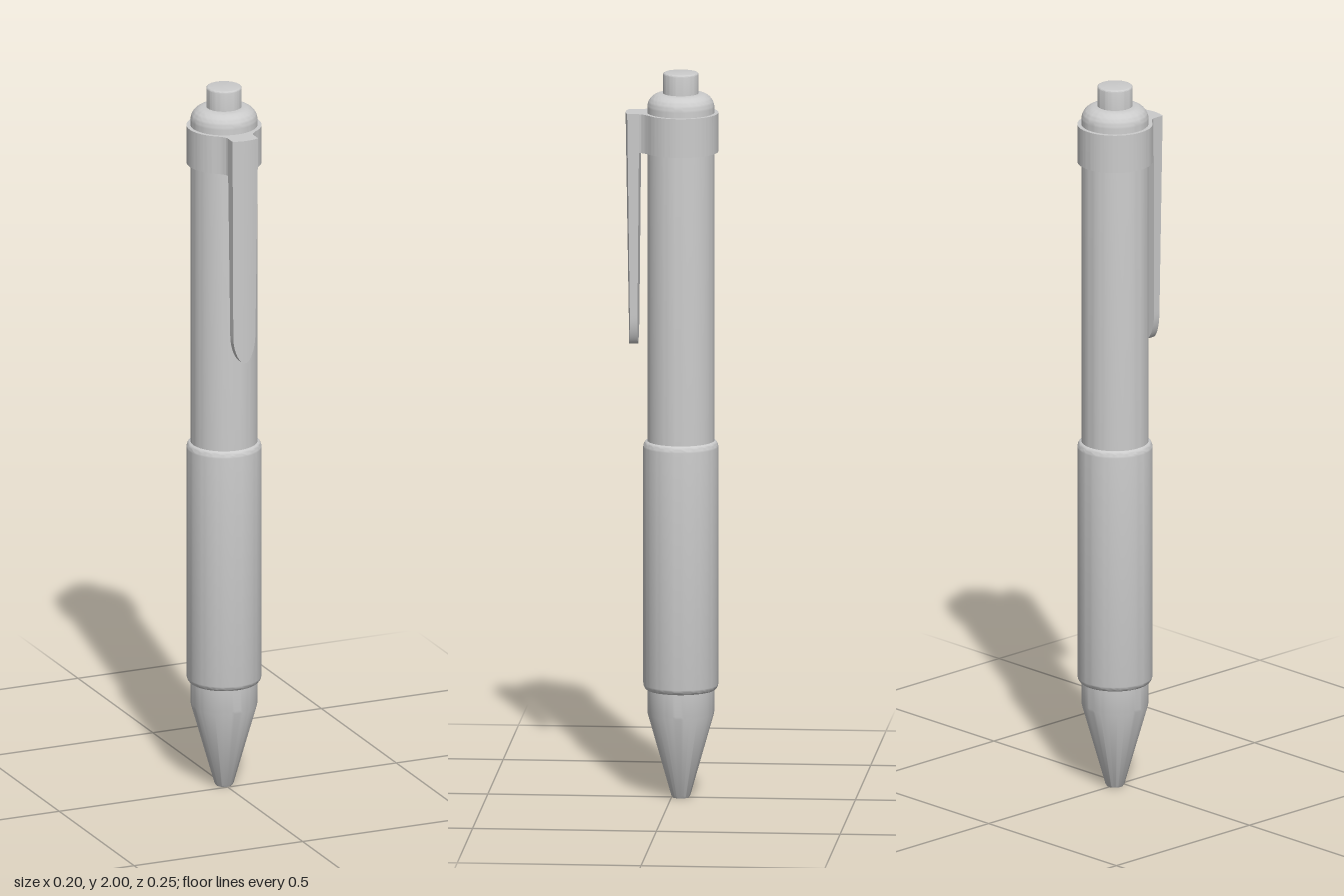
import * as THREE from 'three';
import { toCreasedNormals } from 'three/addons/utils/BufferGeometryUtils.js';

const AXIS_Z = -0.025; // the barrel sits behind the centre, the clip in front
const material = new THREE.MeshStandardMaterial({ color: 0xcccccc });

function part(name, geometry) {
  const mesh = new THREE.Mesh(geometry, material);
  mesh.name = name;
  return mesh;
}

// Turned part from [radius, height] pairs, listed from bottom to top
function turned(name, profile) {
  const points = profile.map(([r, y]) => new THREE.Vector2(r, y));
  const mesh = part(name, toCreasedNormals(new THREE.LatheGeometry(points, 72), 0.5));
  mesh.position.z = AXIS_Z;
  return mesh;
}

// Elliptical quarter round about (r, y), from angle a0 to a1
function round(r, y, rx, ry, a0, a1, steps = 6) {
  return Array.from({ length: steps + 1 }, (_, i) => {
    const a = a0 + ((a1 - a0) * i) / steps;
    return [r + rx * Math.cos(a), y + ry * Math.sin(a)];
  });
}

// Collar outline seen from above: a disc blending into a tab for the clip
function collar() {
  const R = 0.102, x = 0.065;
  const a = Math.acos(x / R);
  const shape = new THREE.Shape();
  shape.moveTo(0.038, 0.086);
  shape.quadraticCurveTo(0.038, 0.074, x, AXIS_Z + R * Math.sin(a));
  shape.absarc(0, AXIS_Z, R, a, Math.PI - a, true);
  shape.quadraticCurveTo(-0.038, 0.074, -0.038, 0.086);
  shape.closePath();
  const geometry = new THREE.ExtrudeGeometry(shape, { depth: 0.107, bevelEnabled: false, curveSegments: 64 });
  geometry.rotateX(Math.PI / 2).translate(0, 1.89, 0);
  return part('clipCollar', toCreasedNormals(geometry, 0.5));
}

// Clip: a box reshaped into a tapered bar with a bowed front and rounded point
function clip() {
  const top = 1.89, bottom = 1.25, tipLength = 0.075;
  const geometry = new THREE.BoxGeometry(2, 1, 1, 10, 32, 1);
  const p = geometry.attributes.position;
  for (let i = 0; i < p.count; i++) {
    const u = p.getX(i);
    const t = Math.pow(p.getY(i) + 0.5, 2); // rows gather towards the tip
    const y = THREE.MathUtils.lerp(bottom, top, t);
    const k = Math.min(1, (y - bottom) / tipLength);
    const halfWidth = THREE.MathUtils.lerp(0.032, 0.038, t) * (0.12 + 0.88 * Math.pow(1 - (1 - k) ** 2, 0.65));
    const x = u * halfWidth;
    const front = THREE.MathUtils.lerp(0.115, 0.125, t) - 5 * x * x;
    const back = THREE.MathUtils.lerp(0.091, 0.085, t);
    p.setXYZ(i, x, y, p.getZ(i) > 0 ? front : back);
  }
  geometry.computeVertexNormals();
  return part('clip', geometry);
}

export function createModel() {
  const pen = new THREE.Group();
  pen.name = 'pen';
  const q = Math.PI / 2;

  // Conical nose with a small refill opening
  pen.add(turned('noseCone', [
    [0, 0.03], [0.014, 0.03], [0.014, 0], [0.022, 0], [0.026, 0.006],
    [0.0895, 0.23], [0.091, 0.238], [0.091, 0.31],
  ]));

  // Thicker grip sleeve with softened ends
  pen.add(turned('grip', [
    [0.085, 0.298],
    ...round(0.09, 0.318, 0.012, 0.02, -q, 0),
    ...round(0.09, 0.967, 0.012, 0.018, 0, q),
    [0.085, 0.985],
  ]));

  // Upper barrel ending in a rounded shoulder
  pen.add(turned('barrel', [
    [0.091, 0.97], [0.091, 1.905],
    ...round(0.052, 1.905, 0.039, 0.038, 0, q, 10),
    [0, 1.943],
  ]));

  // Push button
  pen.add(turned('pushButton', [
    [0.048, 1.93], [0.048, 1.995],
    ...round(0.043, 1.995, 0.005, 0.005, 0, q, 4),
    [0, 2],
  ]));

  pen.add(collar(), clip());
  return pen;
}
